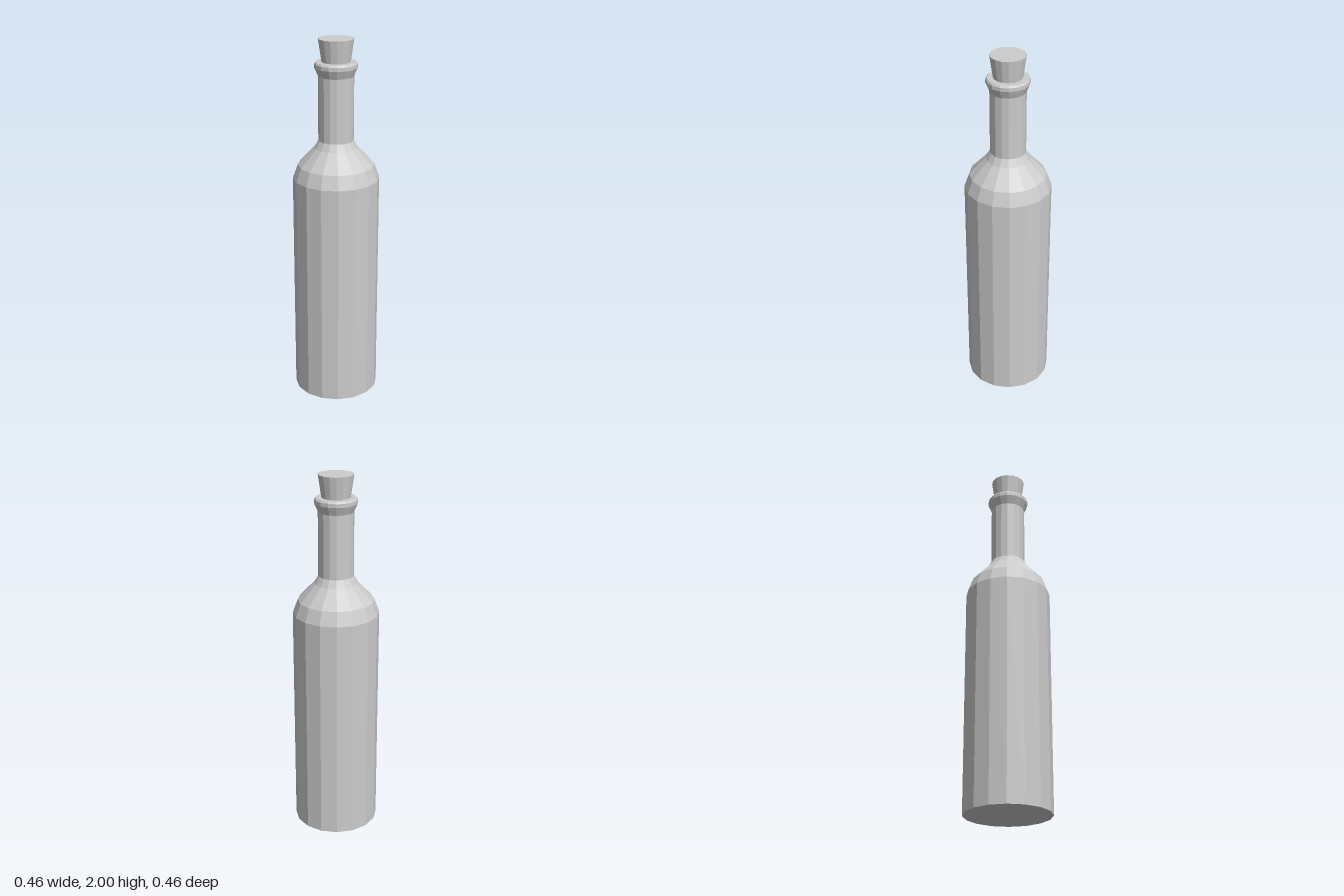
import * as THREE from 'three';

const SIDES = 16;

// Faceted solid of revolution; radii are measured to the middle of each flat side.
function turned(name, profile, material) {
  const toCorner = 1 / Math.cos(Math.PI / SIDES);
  const points = profile.map(([r, y]) => new THREE.Vector2(r * toCorner, y));
  const geometry = new THREE.LatheGeometry(points, SIDES, Math.PI / SIDES).toNonIndexed();
  geometry.computeVertexNormals();
  const mesh = new THREE.Mesh(geometry, material);
  mesh.name = name;
  return mesh;
}

export function createModel() {
  const grey = new THREE.MeshStandardMaterial({ color: 0xcccccc, flatShading: true });
  grey.name = 'light grey';

  const model = new THREE.Group();
  model.name = 'corkedBottle';

  // Base, straight body and sloping shoulder
  model.add(turned('body', [
    [0, 0], [0.229, 0], [0.229, 1.25], [0.202, 1.325], [0.115, 1.42], [0.093, 1.46],
  ], grey));

  // Neck
  model.add(turned('neck', [[0.093, 1.46], [0.093, 1.805]], grey));

  // Flared lip with a small bevel and a flat top around the cork
  model.add(turned('lip', [
    [0.093, 1.805], [0.112, 1.85], [0.112, 1.87], [0.105, 1.88], [0.07, 1.88],
  ], grey));

  // Tapered cork, seated slightly inside the mouth
  model.add(turned('cork', [[0, 1.84], [0.069, 1.84], [0.092, 2], [0, 2]], grey));

  return model;
}
